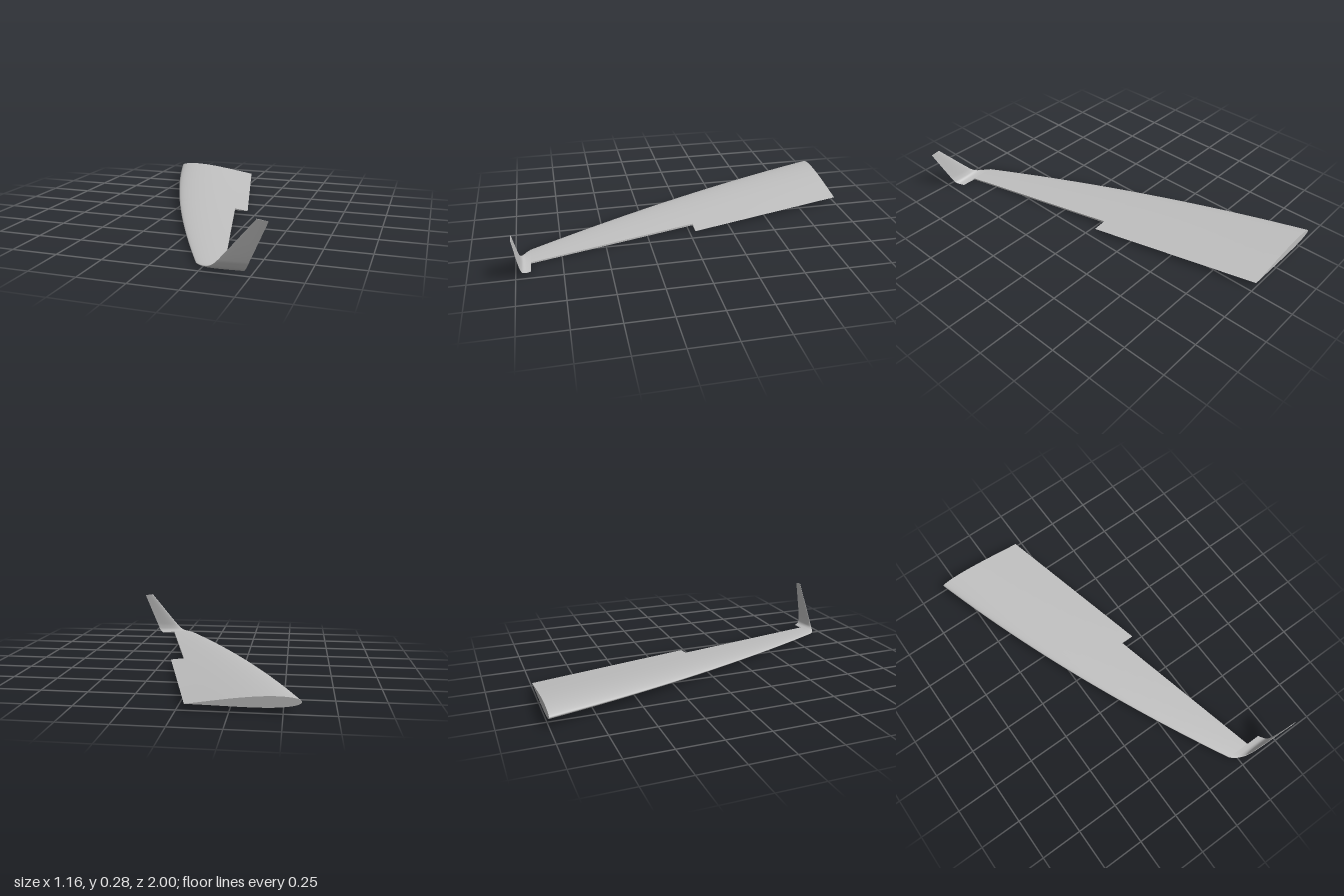
import * as THREE from 'three';

const N = 22; // chordwise steps per surface
const lerp = (a, b, k) => a + (b - a) * k;

// Aerofoil offset from the chord line at chord fraction f, in units of thickness
function foil(f, side) {
  const half = 5 * (0.2969 * Math.sqrt(f) - 0.126 * f - 0.3516 * f ** 2 + 0.2843 * f ** 3 - 0.1036 * f ** 4);
  return side * half * (1 - 0.35 * f * f) + 0.06 * Math.sin(Math.PI * f);
}

// Ring of points: upper surface from trailing to leading edge, then lower surface back
function ring({ le, te, angle = 0, th, cut = 1 }) {
  const n = new THREE.Vector3(0, Math.cos(angle), -Math.sin(angle));
  const pts = [];
  for (let i = 0; i <= 2 * N; i++) {
    const u = Math.abs(i - N) / N;
    const f = cut * (1 - Math.cos(u * Math.PI * 0.5)) * (1 - 0.25 * u * (1 - u));
    pts.push(le.clone().lerp(te, f).addScaledVector(n, th * foil(f, i <= N ? 1 : -1)));
  }
  return pts;
}

// Skin lofted through the sections, with flat end caps and trailing edge
function loft(sections) {
  const rings = sections.map(ring), m = 2 * N;
  const pos = [], idx = [];
  const add = (p) => pos.push(p.x, p.y, p.z) / 3 - 1;
  const strip = (rows) => {
    const ids = rows.map((r) => r.map(add));
    for (let j = 0; j + 1 < ids.length; j++) {
      for (let i = 0; i + 1 < ids[j].length; i++) {
        const a = ids[j][i], b = ids[j][i + 1], c = ids[j + 1][i], d = ids[j + 1][i + 1];
        idx.push(a, b, c, b, d, c);
      }
    }
  };
  strip(rings);
  strip(rings.map((r) => [r[m], r[0]]));
  const upper = (r) => r.slice(0, N + 1);
  const lower = (r) => r.slice(N).reverse();
  const first = rings[0], last = rings[rings.length - 1];
  strip([lower(first), upper(first)]);
  strip([upper(last), lower(last)]);
  const g = new THREE.BufferGeometry();
  g.setAttribute('position', new THREE.Float32BufferAttribute(pos, 3));
  g.setIndex(idx);
  g.computeVertexNormals();
  return g;
}

// Main wing section at distance t from the root
function wingSection(t, cutX) {
  const k = t / 1.92, th = lerp(0.057, 0.0135, k), base = lerp(0.033, 0.004, k);
  const x0 = -0.585 + 0.301 * t + 0.0587 * t * t, x1 = -0.04 + 0.2474 * t;
  return {
    le: new THREE.Vector3(x0, base + 0.56 * th, t - 1),
    te: new THREE.Vector3(x1, base + 0.03 * th, t - 1),
    th,
    cut: cutX === undefined ? 1 : (cutX - x0) / (x1 - x0),
  };
}

export function createModel() {
  const group = new THREE.Group();
  group.name = 'wing';
  const grey = new THREE.MeshStandardMaterial({ color: 0xc0c0c0 });
  grey.name = 'light grey';
  const part = (name, sections) => {
    const mesh = new THREE.Mesh(loft(sections), grey);
    mesh.name = name;
    group.add(mesh);
  };
  const steps = [...Array(13).keys()].map((i) => i / 12);

  // Inner wing with full chord
  part('innerWing', steps.map((k) => wingSection(0.97 * k)));

  // Outer wing, cut short along the aileron line
  part('outerWing', steps.map((k) => wingSection(lerp(0.97, 1.92, k), lerp(0.12, 0.35, k))));

  // Winglet: leading edge, trailing edge, tilt in degrees, thickness
  const stations = [
    [0.21, 0.0116, 0.92, 0.435, 0.0044, 0.92, 0, 0.0135],
    [0.23, 0.012, 0.938, 0.445, 0.006, 0.937, 12, 0.013],
    [0.258, 0.0145, 0.955, 0.455, 0.01, 0.953, 30, 0.012],
    [0.29, 0.023, 0.968, 0.466, 0.021, 0.965, 55, 0.011],
    [0.318, 0.041, 0.975, 0.476, 0.04, 0.972, 75, 0.01],
    [0.34, 0.063, 0.979, 0.487, 0.063, 0.977, 84, 0.0095],
    [0.525, 0.279, 0.998, 0.58, 0.271, 0.999, 86, 0.004],
  ];
  // Smooth the bend by splining between stations
  const spline = (o) => new THREE.CatmullRomCurve3(
    stations.map((s) => new THREE.Vector3(s[o], s[o + 1], s[o + 2])), false, 'centripetal');
  const le = spline(0), te = spline(3), sections = [];
  const last = stations.length - 1;
  for (let i = 0; i <= last * 4; i++) {
    const j = Math.min(Math.floor(i / 4), last - 1), k = i / 4 - j;
    const mix = (c) => lerp(stations[j][c], stations[j + 1][c], k);
    sections.push({
      le: le.getPoint(i / (last * 4)),
      te: te.getPoint(i / (last * 4)),
      angle: THREE.MathUtils.degToRad(mix(6)),
      th: mix(7),
    });
  }
  part('winglet', sections);
  return group;
}
